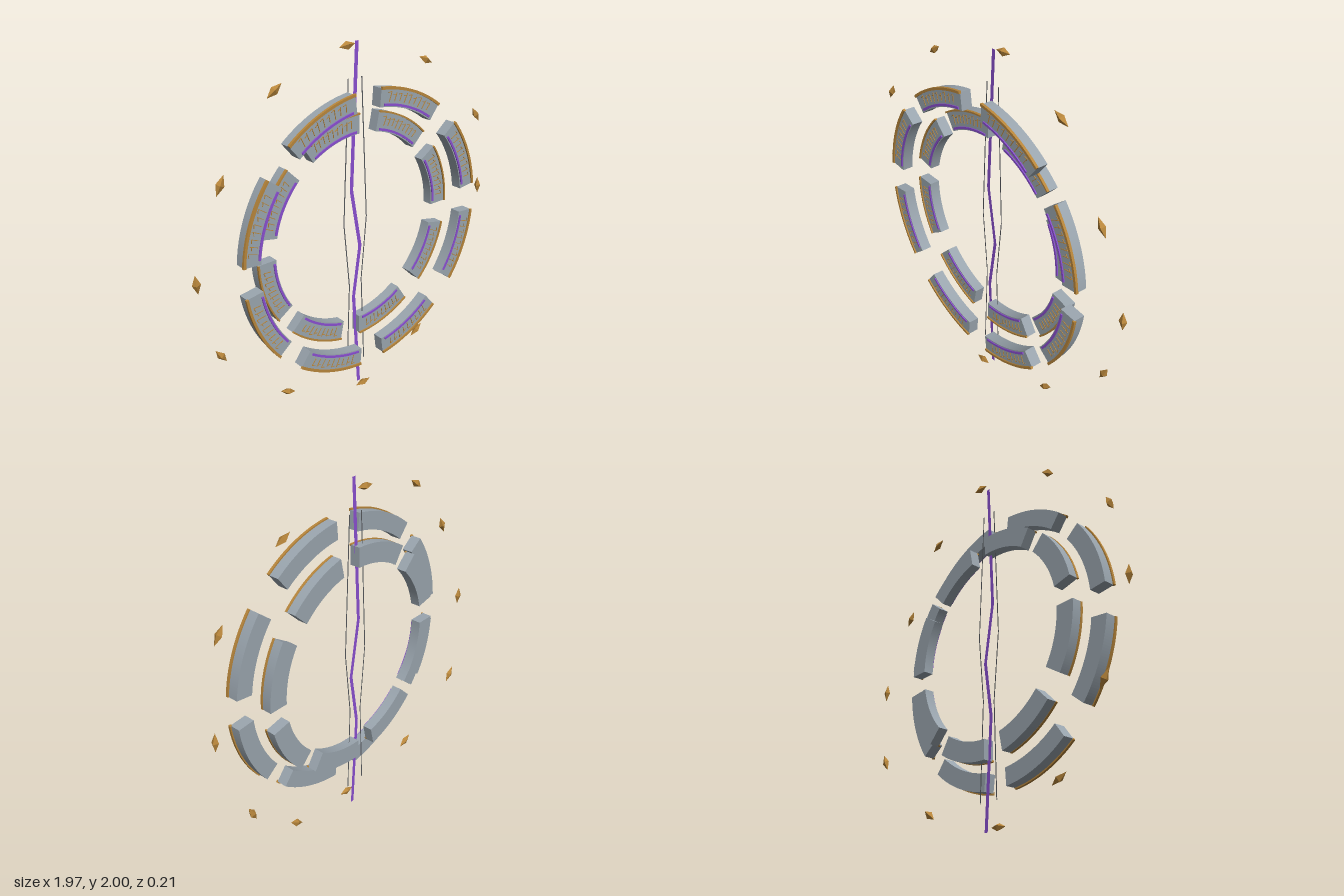
import * as THREE from 'three';

const mat = (color, extra = {}) => new THREE.MeshStandardMaterial({ color, ...extra });
const stone = mat(0x9aa5ae);
const gold = mat(0xb8863b);
const crystal = mat(0xb8863b, { flatShading: true });
const purple = mat(0x8a4fd0, { side: THREE.DoubleSide });
const dark = mat(0x55585c, { side: THREE.DoubleSide });
const rad = THREE.MathUtils.degToRad;

function add(parent, name, geometry, material) {
  const mesh = new THREE.Mesh(geometry, material);
  mesh.name = name;
  parent.add(mesh);
  return mesh;
}

// Ring sector between two radii and two angles (degrees), from z0 to z1
function arcBlock(r0, r1, a0, a1, z0, z1) {
  const shape = new THREE.Shape();
  shape.absarc(0, 0, r1, rad(a0), rad(a1), false);
  shape.absarc(0, 0, r0, rad(a1), rad(a0), true);
  shape.closePath();
  const g = new THREE.ExtrudeGeometry(shape, { depth: z1 - z0, bevelEnabled: false, curveSegments: 16 });
  return g.translate(0, 0, z0);
}

// Flat zigzag ribbon through [x, y] points
function ribbon(points, width, z) {
  const h = width / 2;
  const left = points.map(([x, y]) => new THREE.Vector2(x - h, y));
  const right = points.map(([x, y]) => new THREE.Vector2(x + h, y)).reverse();
  return new THREE.ShapeGeometry(new THREE.Shape([...left, ...right])).translate(0, 0, z);
}

// One curved stone with gold rim, purple inlay and a row of engraved strokes
function segment(o, a0) {
  const g = new THREE.Group();
  g.name = o.name;
  const a1 = a0 + o.span;
  add(g, 'stoneBlock', arcBlock(o.r0, o.r1, a0, a1, o.z0, o.z1), stone);
  add(g, 'goldRim', arcBlock(o.r1 - 0.007, o.r1 + o.rim, a0, a1, o.z1 - 0.006, o.z1 + 0.008), gold);
  add(g, 'purpleInlay', arcBlock(o.r0 + 0.006, o.r0 + 0.018, a0 + 2, a1 - 2, o.z1 - 0.004, o.z1 + 0.006), purple);

  const count = 9, mid = (o.r0 + o.r1) / 2 + 0.004;
  for (let i = 0; i < count; i++) {
    const pivot = new THREE.Group();
    pivot.name = 'rune';
    pivot.rotation.z = rad(a0 + 5 + (o.span - 10) * i / (count - 1));
    g.add(pivot);
    const len = 0.04 + 0.006 * (i % 3);
    const stroke = add(pivot, 'runeStroke', new THREE.BoxGeometry(len, 0.003, 0.004), gold);
    stroke.position.set(mid, 0, o.z1 + 0.001);
    stroke.rotation.z = -0.15;
    const bar = add(pivot, 'runeBar', new THREE.BoxGeometry(0.003, 0.02, 0.004), gold);
    bar.position.set(mid + len * (i % 2 ? 0.25 : 0.45), 0.007, o.z1 + 0.001);
    bar.rotation.z = 0.3;
  }
  return g;
}

export function createModel() {
  const model = new THREE.Group();
  model.name = 'brokenRingPortal';

  // Two staggered rings of eight stones
  const rings = new THREE.Group();
  rings.name = 'rings';
  rings.position.y = 1;
  model.add(rings);
  const outer = { name: 'outerSegment', r0: 0.685, r1: 0.781, z0: 0.034, z1: 0.096, span: 32.2, rim: 0.007 };
  const inner = { name: 'innerSegment', r0: 0.538, r1: 0.646, z0: -0.052, z1: 0.006, span: 33, rim: 0.002 };
  for (let i = 0; i < 8; i++) {
    rings.add(segment(outer, 7.4 + 45 * i + (i % 2) * 0.5));
    rings.add(segment(inner, 45 * i));
  }

  // Twelve floating shards, long axis along the circle, weaving in depth
  const shardGeo = new THREE.OctahedronGeometry(1).rotateY(0.4).scale(0.022, 0.052, 0.018);
  for (let i = 0; i < 12; i++) {
    const a = i * Math.PI / 6;
    const shard = add(rings, 'shard', shardGeo, crystal);
    shard.position.set(0.967 * Math.cos(a), 0.967 * Math.sin(a), -0.023 + 0.063 * Math.sin(3 * a));
    shard.rotation.z = a + 0.08;
  }

  // Central rift and the thin cracks on both sides
  add(model, 'centralRift', ribbon(
    [[0.008, 2], [-0.03, 1.225], [0.028, 0.89], [-0.018, 0.585], [0.018, 0]], 0.023, -0.022), purple);
  add(model, 'leftCrack', ribbon(
    [[0.042, 1.82], [0.076, 1.05], [0.04, 0.68], [0.06, 0.145]], 0.007, -0.025), dark);
  add(model, 'rightCrack', ribbon(
    [[-0.045, 1.82], [-0.08, 1.04], [-0.045, 0.66], [-0.064, 0.145]], 0.007, -0.025), dark);
  return model;
}
